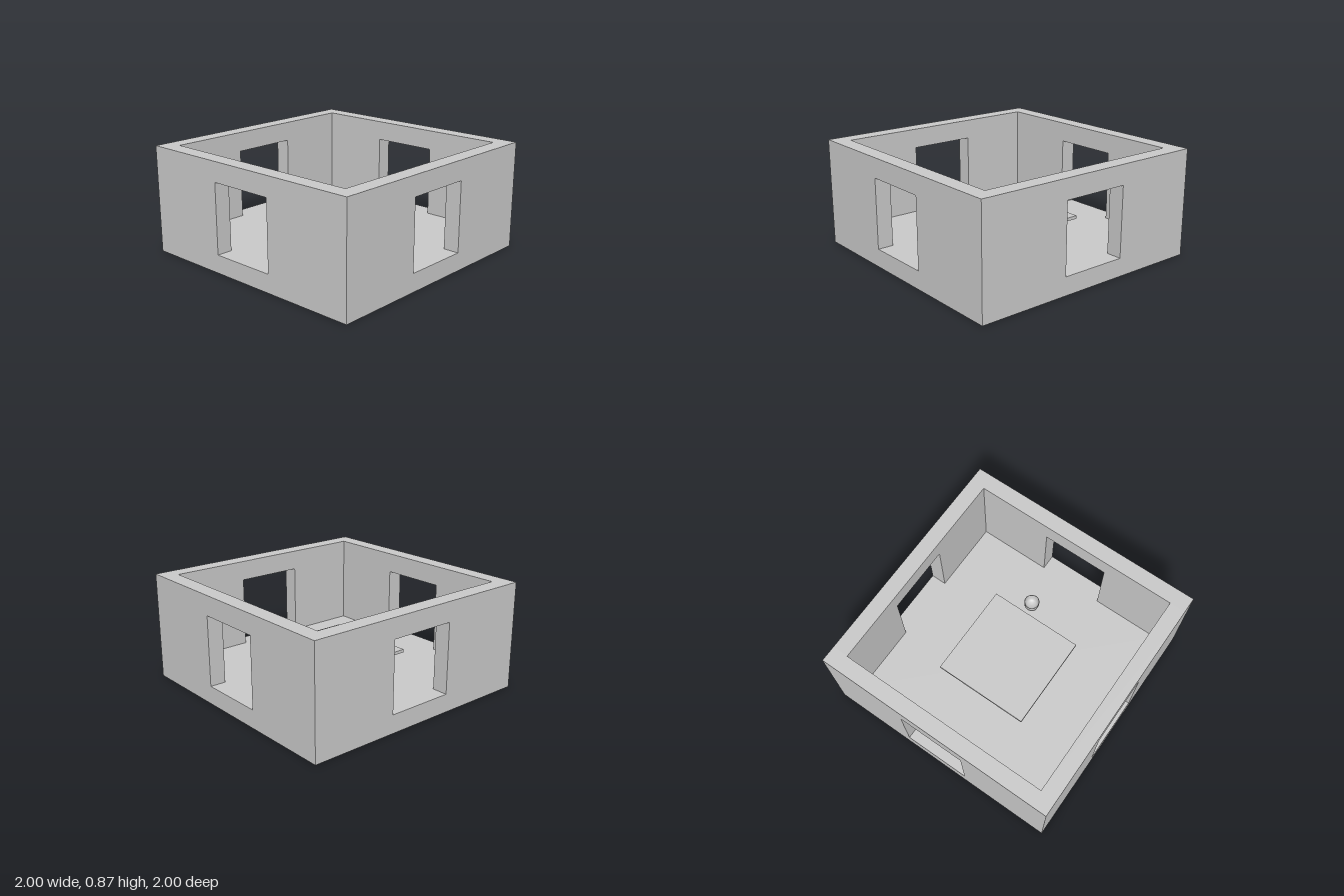
import * as THREE from 'three';

const FLOOR = 0.147, TOP = 0.873, LINTEL = 0.713, WALL = 0.13, INNER = 0.87;

export function createModel() {
  const model = new THREE.Group();
  model.name = 'room';
  const grey = new THREE.MeshStandardMaterial({ color: 0xc8c8c8 });
  grey.name = 'plain grey';

  function add(name, geometry, x, y, z, parent = model) {
    const mesh = new THREE.Mesh(geometry, grey);
    mesh.name = name;
    mesh.position.set(x, y, z);
    parent.add(mesh);
    return mesh;
  }

  // Wall with an opening that reaches down to the floor slab
  function wallGeometry(half, from, to) {
    const points = [
      [-half, FLOOR], [from, FLOOR], [from, LINTEL], [to, LINTEL],
      [to, FLOOR], [half, FLOOR], [half, TOP], [-half, TOP],
    ].map(([x, y]) => new THREE.Vector2(x, y));
    return new THREE.ExtrudeGeometry(new THREE.Shape(points), { depth: WALL, bevelEnabled: false });
  }

  // Floor slab
  add('floor', new THREE.BoxGeometry(2, FLOOR, 2), 0, FLOOR / 2, 0);

  // Front and back walls, the openings mirrored to each other
  add('frontWall', wallGeometry(1, -0.294, 0.254), 0, 0, INNER);
  add('backWall', wallGeometry(1, -0.254, 0.294), 0, 0, -1);

  // Side walls between them
  for (const [name, x] of [['leftWall', 1], ['rightWall', -INNER]]) {
    add(name, wallGeometry(INNER, -0.294, 0.256), x, 0, 0).rotation.y = -Math.PI / 2;
  }

  // Low table: square top on a round pedestal
  const table = new THREE.Group();
  table.name = 'table';
  model.add(table);
  add('tableTop', new THREE.BoxGeometry(0.8, 0.026, 0.79), 0.01, 0.287, -0.016, table);
  add('tablePedestal', new THREE.CylinderGeometry(0.063, 0.063, 0.128, 32), 0.01, FLOOR + 0.064, 0, table);

  // Bowl on the floor: rounded outside, hollow inside
  const profile = [
    [0, 0], [0.04, 0], [0.051, 0.009], [0.059, 0.026], [0.063, 0.048], [0.064, 0.078],
    [0.059, 0.078], [0.057, 0.05], [0.051, 0.03], [0.04, 0.015], [0.022, 0.008], [0, 0.006],
  ].map(([r, y]) => new THREE.Vector2(r, y));
  add('bowl', new THREE.LatheGeometry(profile, 32), 0.14, FLOOR, 0.515);

  return model;
}
